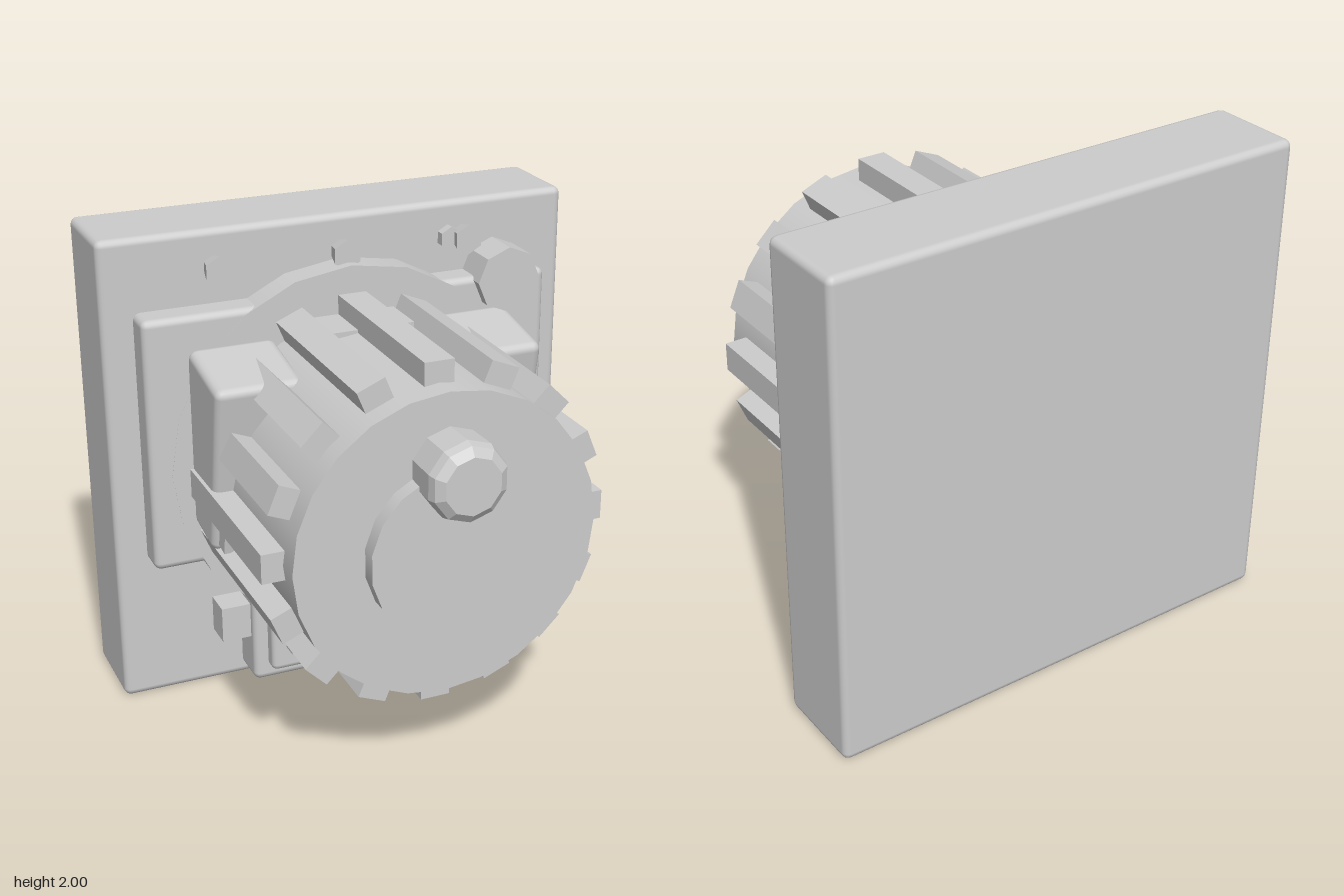
import * as THREE from 'three';
import { RoundedBoxGeometry } from 'three/addons/geometries/RoundedBoxGeometry.js';

export function createModel() {
  const model = new THREE.Group();
  const grey = new THREE.MeshStandardMaterial({ color: 0xcccccc });
  grey.name = 'light grey';

  function add(name, geometry, x = 0, y = 0, z = 0) {
    const mesh = new THREE.Mesh(geometry, grey);
    mesh.name = name;
    mesh.position.set(x, y, z);
    model.add(mesh);
    return mesh;
  }
  // Box given by its extents, with an optional rounded edge
  function box(name, x0, x1, y0, y1, z0, z1, r = 0) {
    const size = [x1 - x0, y1 - y0, z1 - z0];
    const geometry = r ? new RoundedBoxGeometry(...size, 2, r) : new THREE.BoxGeometry(...size);
    return add(name, geometry, (x0 + x1) / 2, (y0 + y1) / 2, (z0 + z1) / 2);
  }
  // Cylinder along z from z0 to z1
  function rod(name, x, y, z0, z1, r, sides, rBack = r) {
    let geometry = new THREE.CylinderGeometry(r, rBack, z1 - z0, sides);
    geometry.rotateX(Math.PI / 2);
    if (sides <= 10) {
      geometry = geometry.toNonIndexed();
      geometry.computeVertexNormals();
    }
    return add(name, geometry, x, y, (z0 + z1) / 2);
  }

  // Plates
  box('wallPlate', -1, 1, 0, 2, -0.82, -0.425, 0.03);
  box('mountPlate', -0.87, 0.87, 0.63, 1.7, -0.5, -0.305, 0.03);
  rod('baseDisc', 0, 1.04, -0.5, -0.304, 0.78, 20);

  // Barrel with its ribs and front cap
  rod('barrel', 0, 1, -0.4, 0.615, 0.62, 24);
  rod('frontCap', 0, 1, 0.6, 0.68, 0.34, 18);
  box('barrelPad', -0.18, 0.18, 1.5, 1.625, -0.32, -0.1);
  for (let i = 0; i < 16; i++) {
    const a = (i * Math.PI) / 8;
    const rib = add('rib', new THREE.BoxGeometry(0.12, 0.12, 0.84),
      0.645 * Math.cos(a), 1 + 0.645 * Math.sin(a), 0.1);
    rib.rotation.z = a;
  }

  // Rounded crank handle
  const profile = [[0.155, 0], [0.16, 0.16], [0.15, 0.195], [0.115, 0.22], [0, 0.22]]
    .map(([r, h]) => new THREE.Vector2(r, h));
  const handle = new THREE.LatheGeometry(profile, 10).toNonIndexed();
  handle.computeVertexNormals();
  handle.rotateX(Math.PI / 2);
  add('handle', handle, 0, 1.33, 0.6);

  // Tilted side blocks with small tabs
  for (const s of [-1, 1]) {
    const block = add('sideBlock', new RoundedBoxGeometry(0.36, 0.74, 0.36, 2, 0.035), s * 0.51, 1.17, -0.21);
    block.rotation.x = 0.177;
    const tab = add('sideTab', new THREE.BoxGeometry(0.07, 0.11, 0.07), s * 0.63, 0.86, -0.055);
    tab.rotation.x = 0.177;
    box('panelEar', s * 0.53 - 0.07, s * 0.53 + 0.07, 0.245, 0.4, -0.45, -0.3);
  }

  // Lower control panel and buttons
  box('panel', -0.475, 0.475, 0.045, 0.44, -0.5, -0.26, 0.03);
  box('panelFace', -0.415, 0.415, 0.11, 0.38, -0.4, -0.2, 0.025);
  for (const x of [-0.3, -0.1, 0.1, 0.3]) rod('button', x, 0.25, -0.25, -0.13, 0.063, 6);

  // Bolts and round dial on the wall plate
  for (const x of [-0.535, 0, 0.535]) rod('bolt', x, 1.85, -0.44, -0.345, 0.063, 6, 0.04);
  for (const [x, y] of [[0.475, 1.85], [0.905, 1.085], [0.79, 0.645]])
    rod('smallBolt', x, y, -0.44, -0.385, 0.05, 6);
  rod('dial', 0.68, 1.685, -0.45, -0.26, 0.138, 8);

  return model;
}
